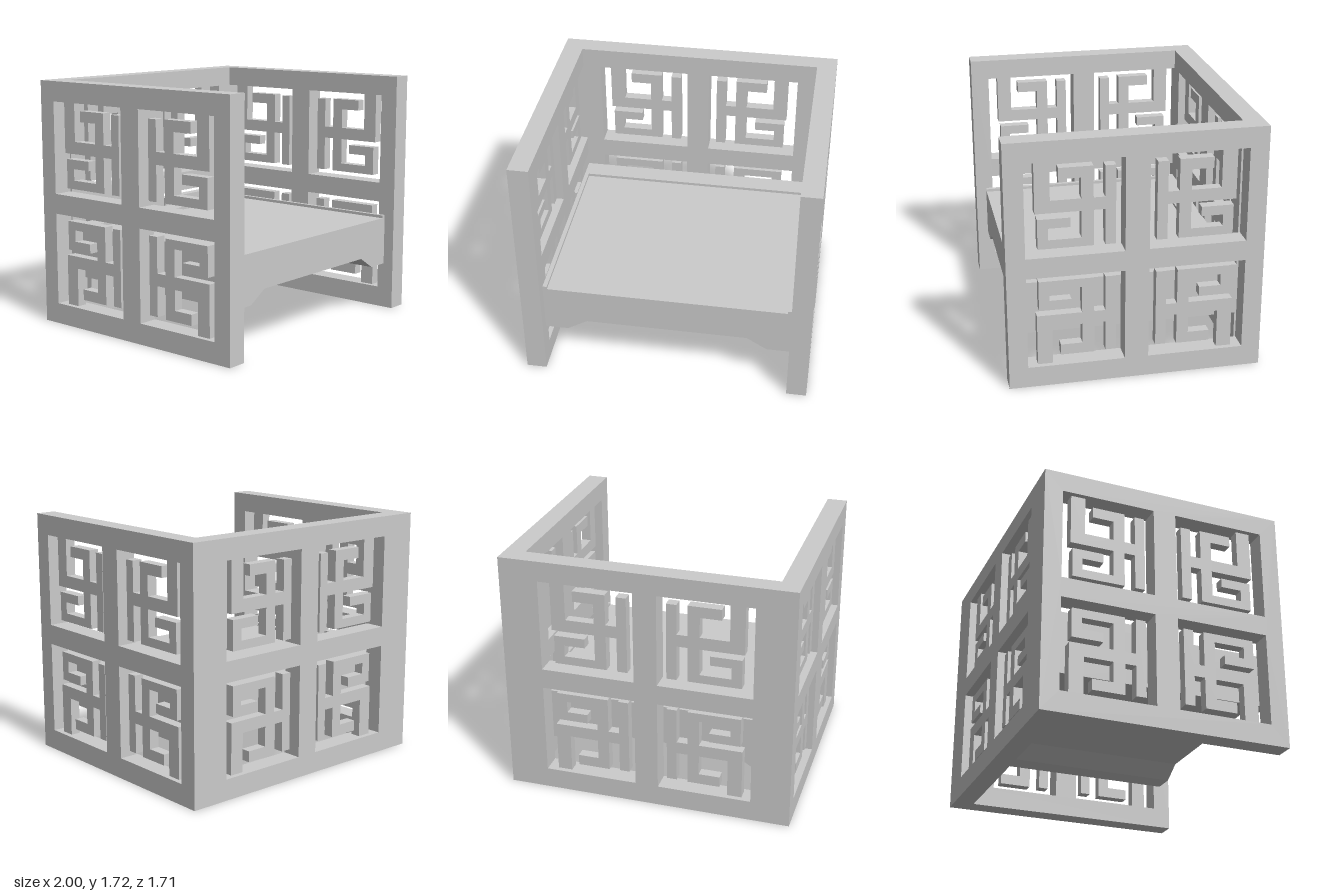
import * as THREE from 'three';

const H = 1.715, HALF = 0.857, T = 0.14;   // panel height, half depth, thickness
const MID = 0.86;                          // height about which the fretwork mirrors
const FRET_T = 0.07;

// One quarter of the fretwork: [distance from panel centre, height]
const FRET = [
  [0.56, 1.575], [0.66, 1.575], [0.66, 1.22], [0.36, 1.22], [0.36, 1.035], [0.575, 1.035],
  [0.575, 1.115], [0.43, 1.115], [0.43, 1.18], [0.645, 1.18], [0.645, 0.975], [0.28, 0.975],
  [0.28, 1.22], [0.205, 1.22], [0.205, 0.975], [0.135, 0.975], [0.135, 1.515], [0.205, 1.515],
  [0.205, 1.305], [0.28, 1.305], [0.28, 1.52], [0.505, 1.52], [0.505, 1.445], [0.36, 1.445],
  [0.36, 1.305], [0.56, 1.305],
];
const OPENING = [[0.08, 0.93], [0.73, 0.93], [0.73, 1.575], [0.08, 1.575]];
const QUARTERS = [[1, 1], [-1, 1], [1, -1], [-1, -1]];

const material = new THREE.MeshStandardMaterial({ color: 0xcccccc, flatShading: true });

const toPoints = (pts, su = 1, sy = 1) =>
  pts.map(([u, y]) => new THREE.Vector2(su * u, MID + sy * (y - MID)));

function extrude(name, shape, z0, z1) {
  const geo = new THREE.ExtrudeGeometry(shape, { depth: z1 - z0, bevelEnabled: false });
  geo.translate(0, 0, z0);
  const mesh = new THREE.Mesh(geo, material);
  mesh.name = name;
  return mesh;
}

// Window-like panel with four openings, each filled with recessed fretwork
function panel(name, halfWidth) {
  const group = new THREE.Group();
  group.name = name;
  const frame = new THREE.Shape([
    new THREE.Vector2(-halfWidth, 0), new THREE.Vector2(halfWidth, 0),
    new THREE.Vector2(halfWidth, H), new THREE.Vector2(-halfWidth, H),
  ]);
  for (const [su, sy] of QUARTERS) {
    frame.holes.push(new THREE.Path(toPoints(OPENING, su, sy)));
    group.add(extrude('fretwork', new THREE.Shape(toPoints(FRET, su, sy)), -FRET_T / 2, FRET_T / 2));
  }
  group.add(extrude('frame', frame, -T / 2, T / 2));
  return group;
}

// Seat cross-section: arched apron below, optional shallow recess on top
function seatShape(recessed) {
  const half = [[0.56, 0.415], [0.7, 0.33], [0.86, 0.33], [0.86, 0.695]];
  if (recessed) half.push([0.83, 0.695], [0.83, 0.675]);
  const mirrored = half.map(([x, y]) => [-x, y]).reverse();
  return new THREE.Shape([...half, ...mirrored].map(([x, y]) => new THREE.Vector2(x, y)));
}

export function createModel() {
  const model = new THREE.Group();
  model.name = 'armchair';

  // Side panels
  for (const s of [1, -1]) {
    const side = panel(s > 0 ? 'leftSide' : 'rightSide', HALF);
    side.rotation.y = s * Math.PI / 2;
    side.position.x = s * (1 - T / 2);
    model.add(side);
  }

  // Back panel between the sides
  const back = panel('back', 1 - T);
  back.position.z = -HALF + T / 2;
  model.add(back);

  // Seat with recessed top, and the raised ledge behind it
  model.add(extrude('seat', seatShape(true), -0.575, 0.78));
  model.add(extrude('seatBackLedge', seatShape(false), -HALF + T, -0.575));

  return model;
}
